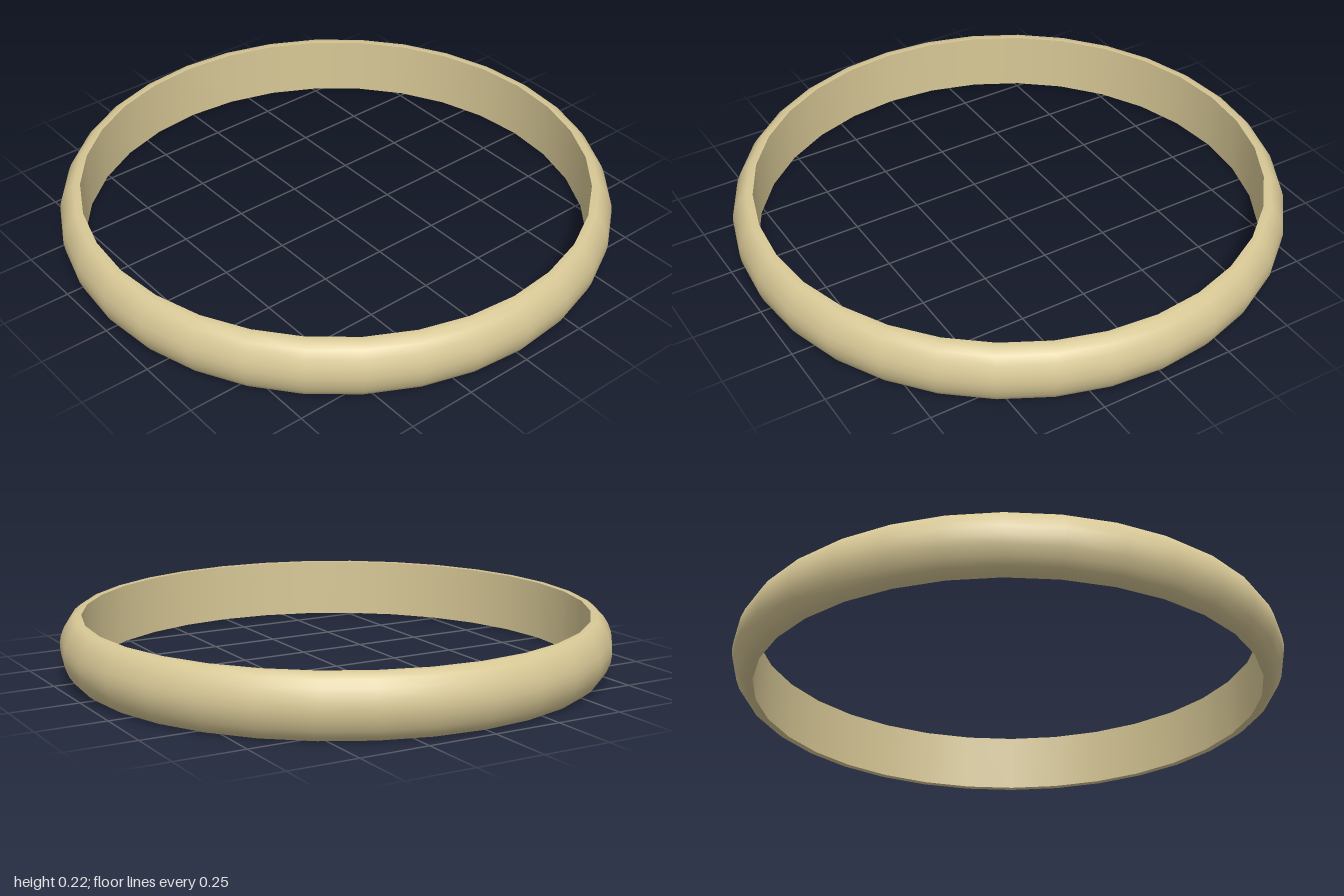
import * as THREE from 'three';

const SEGMENTS = 32;
const HEIGHT = 0.22;
const INNER = 0.92;

export function createModel() {
  const group = new THREE.Group();
  group.name = 'ring';
  const material = new THREE.MeshStandardMaterial({ color: 0xd8c896 });

  const addLathe = (name, points) => {
    const profile = points.map(([r, y]) => new THREE.Vector2(r, y));
    const mesh = new THREE.Mesh(new THREE.LatheGeometry(profile, SEGMENTS), material);
    mesh.name = name;
    group.add(mesh);
  };

  // Domed outer face with narrow rims, mirrored about mid-height
  const lower = [[INNER, 0], [0.945, 0], [0.966, 0.017], [0.983, 0.043], [0.996, 0.077]];
  const upper = lower.map(([r, y]) => [r, HEIGHT - y]).reverse();
  addLathe('outerBand', [...lower, [1, HEIGHT / 2], ...upper]);

  // Straight inner wall, facing the axis
  addLathe('innerWall', [[INNER, HEIGHT], [INNER, 0]]);

  return group;
}
